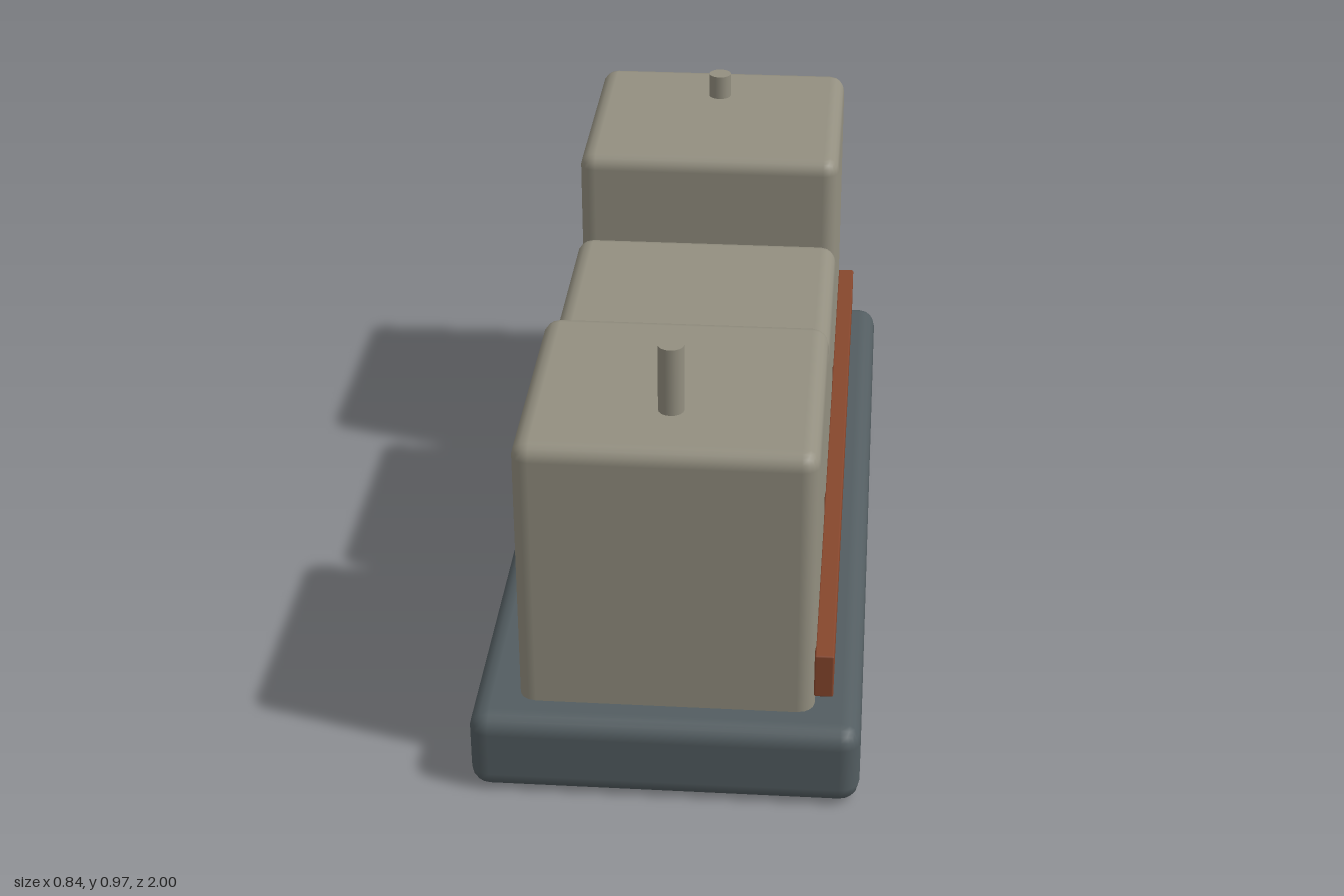
import * as THREE from 'three';
import { RoundedBoxGeometry } from 'three/addons/geometries/RoundedBoxGeometry.js';

function material(name, color) {
  const m = new THREE.MeshStandardMaterial({ color });
  m.name = name;
  return m;
}

export function createModel() {
  const model = new THREE.Group();
  model.name = 'blocksOnBase';
  const stone = material('warm grey', 0x938f80);
  const slate = material('slate grey', 0x535d61);
  const rust = material('rust brown', 0x87472d);

  function add(name, geometry, mat, x, y, z) {
    const mesh = new THREE.Mesh(geometry, mat);
    mesh.name = name;
    mesh.position.set(x, y, z);
    model.add(mesh);
  }

  // Base slab with rounded edges
  add('base', new RoundedBoxGeometry(0.836, 0.187, 2, 2, 0.043), slate, 0, 0.0935, 0);

  // Three rounded blocks, their lower edges sunk into the base
  const bottom = 0.1;
  const blocks = [
    ['frontBlock', 0.627, 0.814],
    ['middleBlock', 0, 0.712],
    ['backBlock', -0.627, 0.908],
  ];
  for (const [name, z, top] of blocks) {
    const h = top - bottom;
    add(name, new RoundedBoxGeometry(0.634, h, 0.592, 2, 0.038), stone, 0, bottom + h / 2, z);
  }

  // Pins standing on the end blocks, both reaching the same height
  for (const [name, z, from] of [['frontPin', 0.745, 0.78], ['backPin', -0.745, 0.87]]) {
    const h = 0.967 - from;
    add(name, new THREE.CylinderGeometry(0.028, 0.028, h, 16), stone, 0, from + h / 2, z);
  }

  // Rail joining the blocks along the left side
  add('sideRail', new RoundedBoxGeometry(0.041, 0.104, 1.846, 1, 0.004), rust, 0.3355, 0.281, 0);

  return model;
}
